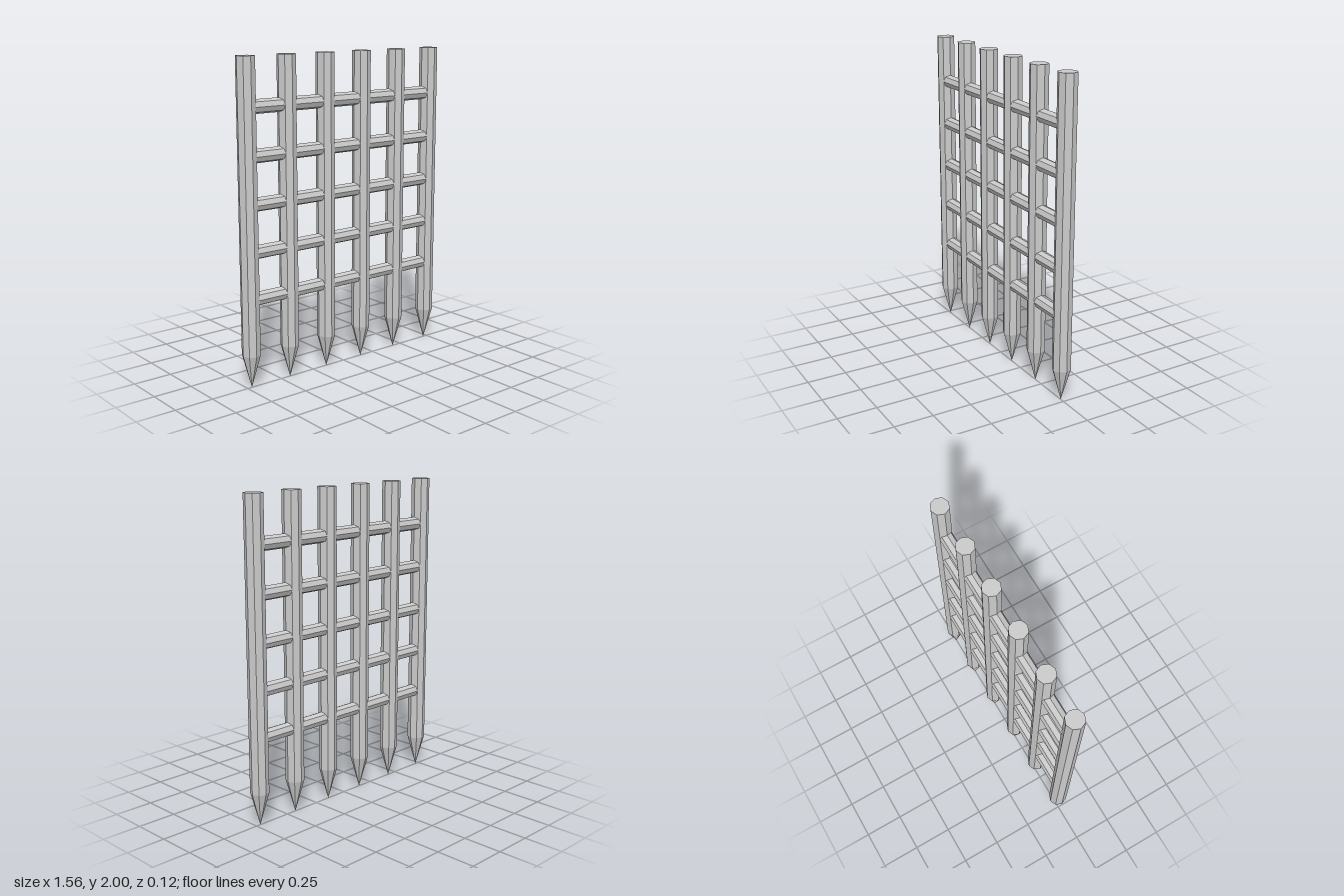
import * as THREE from 'three';

const SPACING = 0.288;
const BAR_RADIUS = 0.058;
const RUNG_RADIUS = 0.043;
const TIP_HEIGHT = 0.21;
const HEIGHT = 2;

export function createModel() {
  const model = new THREE.Group();
  model.name = 'portcullis';
  const iron = new THREE.MeshStandardMaterial({ color: 0xcccccc, flatShading: true });

  const add = (parent, name, geometry, x, y) => {
    const mesh = new THREE.Mesh(geometry, iron);
    mesh.name = name;
    mesh.position.set(x, y, 0);
    parent.add(mesh);
  };

  // Octagonal shaft with its flat cap, and the spike below it
  const shaftLength = HEIGHT - TIP_HEIGHT;
  const shaft = new THREE.CylinderGeometry(BAR_RADIUS, BAR_RADIUS, shaftLength, 8);
  const spike = new THREE.ConeGeometry(BAR_RADIUS, TIP_HEIGHT, 8, 1, true).rotateX(Math.PI);

  // Six upright bars
  for (let i = 0; i < 6; i++) {
    const bar = new THREE.Group();
    bar.name = 'uprightBar';
    bar.position.x = (i - 2.5) * SPACING;
    add(bar, 'shaft', shaft, 0, TIP_HEIGHT + shaftLength / 2);
    add(bar, 'spike', spike, 0, TIP_HEIGHT / 2);
    model.add(bar);
  }

  // Five crossbars running through the uprights, ending inside the outer ones
  const rung = new THREE.CylinderGeometry(RUNG_RADIUS, RUNG_RADIUS, 5 * SPACING, 8).rotateZ(Math.PI / 2);
  for (let i = 0; i < 5; i++) add(model, 'crossbar', rung, 0, 0.554 + i * SPACING);

  return model;
}
